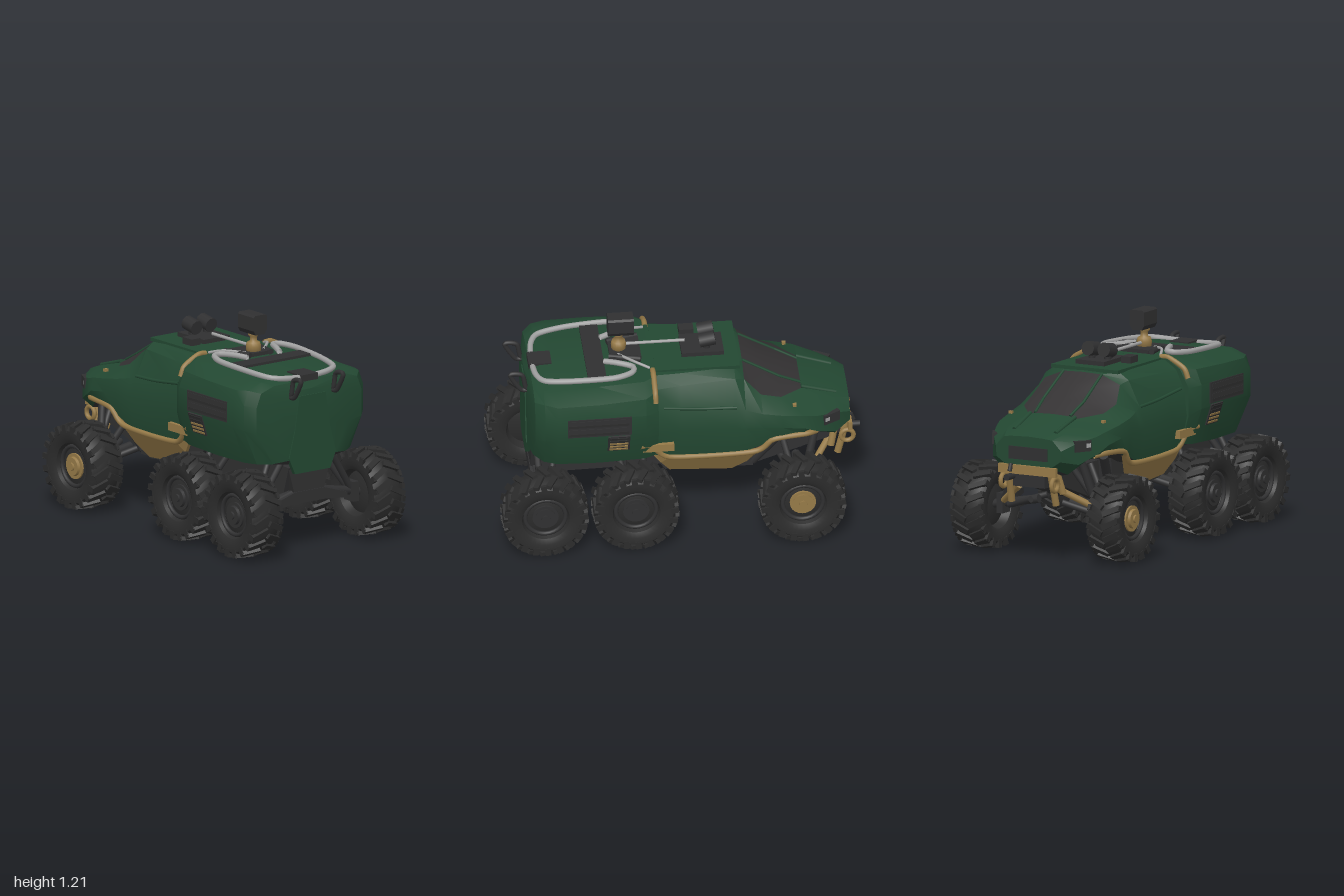
import * as THREE from 'three';
import { mergeGeometries, toCreasedNormals } from 'three/addons/utils/BufferGeometryUtils.js';

const mat = (name, color) => Object.assign(new THREE.MeshStandardMaterial({ color, side: THREE.DoubleSide }), { name });

export function createModel() {
  const green = mat('body green', 0x234832), dark = mat('dark metal', 0x303031), rubber = mat('tyre rubber', 0x2c2c2c);
  const tan = mat('tan trim', 0x967a48), grey = mat('grey rail', 0xa0a0a0), glass = mat('window', 0x343233);
  const root = new THREE.Group();
  const V = (p) => new THREE.Vector3(...p);
  const add = (name, geo, m, pos = [0, 0, 0]) => {
    const mesh = new THREE.Mesh(geo, m);
    mesh.name = name;
    mesh.position.set(...pos);
    root.add(mesh);
    return mesh;
  };
  const box = (name, m, size, pos) => add(name, new THREE.BoxGeometry(...size), m, pos);
  const rod = (name, m, a, b, r) => {
    const d = V(b).sub(V(a));
    const mesh = add(name, new THREE.CylinderGeometry(r, r, d.length(), 10), m);
    mesh.position.copy(V(a).addScaledVector(d, 0.5));
    mesh.quaternion.setFromUnitVectors(new THREE.Vector3(0, 1, 0), d.normalize());
    return mesh;
  };
  const tube = (name, m, pts, r, n = 40) =>
    add(name, new THREE.TubeGeometry(new THREE.CatmullRomCurve3(pts.map(V), false, 'catmullrom', 0.4), n, r, 8), m);
  const plate = (name, m, pts, depth, z) => {
    const s = new THREE.Shape(pts.map((p) => new THREE.Vector2(...p)));
    return add(name, new THREE.ExtrudeGeometry(s, { depth, bevelEnabled: false }), m, [0, 0, z]);
  };

  // Lofted shell: each station is [x, five [z, y] points from roof edge to lower edge]; centre points are implied
  const loft = (name, stations, pick) => {
    const rings = stations.map(([x, h]) => {
      const side = [[0, h[0][1] + 0.004], ...h, [0, h[4][1] - 0.04]];
      return [...side, ...h.slice().reverse().map(([z, y]) => [-z, y])].map(([z, y]) => [x, y, z]);
    });
    const n = rings[0].length, lists = new Map();
    const face = (m, ...ps) => {
      if (!lists.has(m)) lists.set(m, []);
      lists.get(m).push(...ps.flat());
    };
    for (let i = 0; i < rings.length - 1; i++) for (let j = 0; j < n; j++) {
      const k = (j + 1) % n, a = rings[i][j], b = rings[i][k], c = rings[i + 1][k], d = rings[i + 1][j];
      const m = pick(i, Math.min(j, n - 1 - j));
      face(m, a, b, c);
      face(m, a, c, d);
    }
    for (const [ring, flip] of [[rings[0], true], [rings.at(-1), false]]) {
      const c = [ring[0][0], (ring[0][1] + ring[n / 2][1]) / 2, 0];
      ring.forEach((p, j) => {
        const q = ring[(j + 1) % n];
        flip ? face(green, c, q, p) : face(green, c, p, q);
      });
    }
    for (const [m, list] of lists) {
      const g = new THREE.BufferGeometry();
      g.setAttribute('position', new THREE.Float32BufferAttribute(list, 3));
      g.computeVertexNormals();
      add(name + (m === green ? '' : ' ' + m.name), toCreasedNormals(g, 0.5), m);
    }
  };

  // Cab shell with windscreen and side windows
  loft('cab', [
    [-0.93, [[.1, .69], [.15, .685], [.205, .63], [.2, .57], [.14, .53]]],
    [-0.85, [[.11, .72], [.18, .71], [.265, .67], [.27, .55], [.2, .49]]],
    [-0.74, [[.11, .752], [.18, .742], [.315, .69], [.33, .6], [.26, .56]]],
    [-0.67, [[.11, .775], [.15, .765], [.335, .71], [.355, .64], [.33, .58]]],
    [-0.55, [[.125, .837], [.25, .785], [.35, .73], [.365, .66], [.345, .575]]],
    [-0.44, [[.125, .902], [.265, .82], [.35, .75], [.365, .67], [.34, .54]]],
    [-0.35, [[.12, .957], [.235, .91], [.335, .77], [.365, .67], [.335, .5]]],
    [-0.3, [[.2, .97], [.26, .93], [.33, .79], [.365, .68], [.335, .49]]],
    [0.0, [[.23, .97], [.285, .925], [.34, .8], [.365, .68], [.335, .49]]],
    [0.15, [[.24, .972], [.31, .925], [.36, .82], [.375, .68], [.345, .52]]],
  ], (i, j) => (j > 4 ? dark : i > 2 && i < 6 && j < 2 ? glass : green));

  // Rear compartment shell
  loft('rear compartment', [
    [0.13, [[.25, .98], [.33, .93], [.385, .83], [.385, .68], [.34, .52]]],
    [0.2, [[.3, .978], [.39, .925], [.425, .84], [.425, .71], [.36, .51]]],
    [0.45, [[.31, .97], [.41, .92], [.43, .84], [.43, .71], [.36, .5]]],
    [0.68, [[.31, .957], [.41, .915], [.43, .84], [.43, .71], [.35, .5]]],
    [0.75, [[.29, .953], [.38, .92], [.41, .84], [.41, .7], [.32, .5]]],
    [0.8, [[.24, .935], [.33, .905], [.36, .83], [.36, .68], [.25, .5]]],
    [0.825, [[.12, .89], [.2, .86], [.25, .79], [.25, .67], [.16, .51]]],
  ], (i, j) => (j > 4 ? dark : green));

  // Tailgate panel and dark lower tail
  const across = (name, m, pts, depth, x) => {
    const p = plate(name, m, pts, depth, 0);
    p.rotation.y = Math.PI / 2;
    p.position.x = x;
  };
  across('tailgate', green, [[-.09, .86], [-.12, .67], [-.16, .52], [-.12, .43], [.12, .43], [.16, .52], [.12, .67], [.09, .86]], 0.025, 0.806);
  across('lower tail', dark, [[-.14, .45], [-.1, .31], [.1, .31], [.14, .45]], 0.05, 0.75);
  across('rear crossmember', dark, [[-.26, .24], [-.26, .27], [-.1, .32], [.1, .32], [.26, .27], [.26, .24], [.1, .255], [-.1, .255]], 0.05, 0.755);

  // Chassis and belly
  plate('chassis', dark, [[-.86, .5], [-.82, .42], [-.42, .28], [0, .31], [.75, .3], [.8, .46], [.2, .5], [-.4, .5]], 0.28, -0.14);
  plate('belly', dark, [[-.42, .52], [-.4, .32], [.08, .33], [.2, .52]], 0.44, -0.22);

  for (const s of [1, -1]) {
    const P = (x, y, z) => [x, y, s * z];
    // Tan sill leaning inwards, with a raised edge along the arches
    const sill = plate('tan sill', tan, [[-.49, .57], [-.4, .49], [.06, .5], [.18, .6], [.22, .6], [.11, .44], [.06, .36], [-.28, .33], [-.36, .4]], 0.02, 0);
    const q = sill.geometry.attributes.position;
    for (let i = 0; i < q.count; i++) q.setZ(i, s * (q.getZ(i) + 0.325 - Math.max(0, 0.5 - q.getY(i)) * 0.55));
    sill.geometry.computeVertexNormals();
    tube('tan sill edge', tan, [P(-.74, .585, .3), P(-.68, .595, .338), P(-.5, .578, .348), P(-.39, .495, .336), P(.06, .495, .338), P(.16, .59, .36), P(.23, .61, .385)], 0.016);
    box('tan step', tan, [.17, .045, .03], P(.13, .585, .365));

    // Side grilles; the lower vent follows the inward slope
    box('grille recess', dark, [.35, .115, .008], P(.455, .785, .43));
    for (let k = 0; k < 4; k++) box('grille slat', k % 2 ? dark : rubber, [.33, .014, .014], P(.46, .744 + k * .027, .43));
    const vent = new THREE.Group();
    vent.name = 'lower vent';
    vent.position.set(.35, .663, s * .413);
    vent.rotation.x = s * 0.32;
    root.add(vent);
    vent.add(box('vent recess', dark, [.12, .12, .012], [0, 0, 0]));
    for (let k = 0; k < 5; k++) vent.add(box('vent slat', k < 3 ? tan : rubber, [.1, .011, .02], [0, -.046 + k * .023, 0]));

    // Headlamps, strap and window pillars
    const lamp = box('headlamp surround', dark, [.1, .06, .03], P(-.82, .65, .273));
    lamp.rotation.y = s * -0.5;
    const lens = box('headlamp lens', grey, [.028, .024, .036], P(-.79, .652, .286));
    lens.rotation.y = s * -0.5;
    tube('tan strap', tan, [P(.145, .985, .2), P(.145, .985, .25), P(.145, .935, .345), P(.145, .88, .372)], 0.015, 16);
    rod('windscreen pillar', green, P(-.67, .777, .11), P(-.55, .838, .125), .008);
    rod('windscreen pillar', green, P(-.55, .838, .125), P(-.35, .957, .12), .008);
    box('marker', tan, [.02, .015, .02], P(-.62, .755, .29));
    tube('door ridge', green, [P(-.3, .79, .33), P(-.12, .8, .335), P(.1, .83, .352)], 0.009, 12);
    rod('hood ridge', green, P(-.86, .713, .13), P(-.67, .772, .14), .012);

    // Rear grab handles
    tube('grab handle', dark, [P(.8, .87, .145), P(.83, .88, .145), P(.85, .96, .145), P(.915, .965, .145), P(.86, .87, .145), P(.82, .86, .145)], 0.013);

    // Front tow gear
    rod('tow bracket', tan, P(-.92, .52, .13), P(-.87, .32, .14), .02);
    rod('tow bracket', tan, P(-.86, .52, .13), P(-.83, .38, .16), .02);
    add('tow ring', new THREE.TorusGeometry(.035, .013, 8, 16), tan, P(-.92, .44, .16));
    rod('front link', tan, P(-.82, .4, .12), P(-.68, .28, .3), .018);

    // Suspension arms and struts at each axle
    for (const x of [-.645, .262, .757]) {
      rod('axle', dark, P(x, .3, .1), P(x, .245, .4), .024);
      for (const dx of [-.09, x > .7 ? .02 : .09]) {
        rod('upper arm', dark, P(x + dx, .5, .17), P(x + dx * .3, .28, .31), .018);
        rod('lower arm', dark, P(x + dx, .31, .1), P(x + dx * .3, .255, .27), .018);
      }
      box('knuckle', dark, [.08, .11, .04], P(x, .26, .325));
    }
    rod('arch strut', dark, P(-.55, .55, .25), P(-.4, .34, .2), .025);
    rod('arch strut', dark, P(-.74, .55, .22), P(-.68, .3, .28), .022);
  }
  box('tan front bar', tan, [.022, .05, .36], [-.935, .51, 0]);
  box('winch', dark, [.09, .09, .2], [-.88, .46, 0]);
  rod('winch hook', dark, [-.92, .47, -.1], [-.995, .47, -.1], .018);
  rod('winch spool', dark, [-.96, .5, -.1], [-.945, .54, -.1], .012);
  box('nose grille', dark, [.012, .07, .24], [-.93, .6, 0]);

  // Tyres: lathed carcass from a mirrored half profile, with staggered angled lugs
  const halfTyre = [[0, .05], [.07, .05], [.115, .035], [.13, .08], [.16, .096], [.2, .094], [.22, .07]];
  const profile = [...halfTyre.map(([r, z]) => [r, -z]), [.226, 0], ...halfTyre.slice().reverse()];
  const carcass = new THREE.LatheGeometry(profile.map((p) => new THREE.Vector2(...p)), 36);
  carcass.rotateX(Math.PI / 2);
  const lugs = [], COUNT = 20;
  for (const s of [1, -1]) for (let k = 0; k < COUNT; k++) {
    const turn = ((k + (s > 0 ? 0 : 0.5)) / COUNT) * Math.PI * 2;
    const tread = new THREE.BoxGeometry(.03, .022, .1);
    tread.rotateX(s * 0.08).rotateY(s * 0.45).translate(0, .225, s * .048);
    const shoulder = new THREE.BoxGeometry(.032, .045, .018);
    shoulder.translate(s * .022, .207, s * .089);
    lugs.push(tread.rotateZ(turn), shoulder.rotateZ(turn));
  }
  const tyre = toCreasedNormals(mergeGeometries([carcass.toNonIndexed(), ...lugs.map((g) => g.toNonIndexed())]), 0.7);
  const hub = new THREE.CylinderGeometry(.05, .06, .04, 16).rotateX(Math.PI / 2);
  const disc = new THREE.CylinderGeometry(.072, .072, .03, 20).rotateX(Math.PI / 2);
  const rim = new THREE.TorusGeometry(.11, .012, 8, 28);
  const cap = new THREE.CylinderGeometry(.022, .025, .03, 8).rotateX(Math.PI / 2);
  for (const s of [1, -1]) for (const [x, z] of [[-.645, .428], [.262, .41], [.757, .42]]) {
    add('tyre', tyre, rubber, [x, .243, s * z]);
    add('rim', rim, dark, [x, .243, s * (z + .055)]);
    add('hub disc', disc, x < 0 ? tan : dark, [x, .243, s * (z + .045)]);
    add('hub', hub, x < 0 ? tan : dark, [x, .243, s * (z + .055)]);
    add('hub cap', cap, x < 0 ? tan : dark, [x, .243, s * (z + .07)]);
  }

  // Roof hatch and twin sensors on the cab
  box('hatch', green, [.46, .02, .42], [-.1, .973, 0]);
  box('hatch plate', dark, [.23, .03, .18], [-.14, .992, -.01]);
  box('hatch lip', dark, [.08, .05, .06], [-.07, .995, .13]);
  for (const s of [1, -1]) {
    rod('sensor', dark, [-.21, 1.065, s * .05], [-.125, 1.05, s * .05], .04);
    rod('sensor stem', dark, [-.165, 1.0, s * .05], [-.165, 1.04, s * .05], .02);
  }
  rod('grey mast', grey, [-.05, 1.025, 0], [.27, 1.025, 0], .009);

  // Camera turret
  box('turret base', dark, [.17, .02, .19], [.28, .993, 0]);
  for (const s of [1, -1]) rod('turret arm', dark, [.2, .995, s * .11], [.37, .995, s * .07], .016);
  const neck = [[0, .985], [.038, .985], [.042, 1.03], [.036, 1.05], [.02, 1.058], [.02, 1.08], [.03, 1.09], [.03, 1.105], [0, 1.105]];
  add('turret neck', new THREE.LatheGeometry(neck.map((p) => new THREE.Vector2(...p)), 16), tan, [.31, 0, 0]);
  across('turret head', dark, [[-.045, 1.2], [-.045, 1.125], [-.03, 1.1], [.03, 1.1], [.045, 1.125], [.045, 1.2], [.035, 1.21], [-.035, 1.21]], 0.14, 0.23);

  // Rear roof panel, latch and looped rail
  box('roof panel', dark, [.1, .014, .5], [.45, .978, 0]);
  box('rear latch', dark, [.125, .05, .115], [.742, .942, 0]);
  const half = [[.4, .995, .11], [.33, 1.0, .14], [.25, .998, .18], [.26, .995, .23], [.36, .988, .262], [.58, .977, .253], [.73, .965, .22], [.775, .957, .14]];
  tube('roof rail', grey, [...half, [.785, .95, 0], ...half.map(([x, y, z]) => [x, y, -z]).reverse()], 0.016, 110);
  for (const s of [1, -1]) tube('roof cable', grey, [[.16, .99, s * .19], [.24, 1.01, s * .15], [.32, 1.0, s * .06]], 0.008, 14);

  return root;
}
